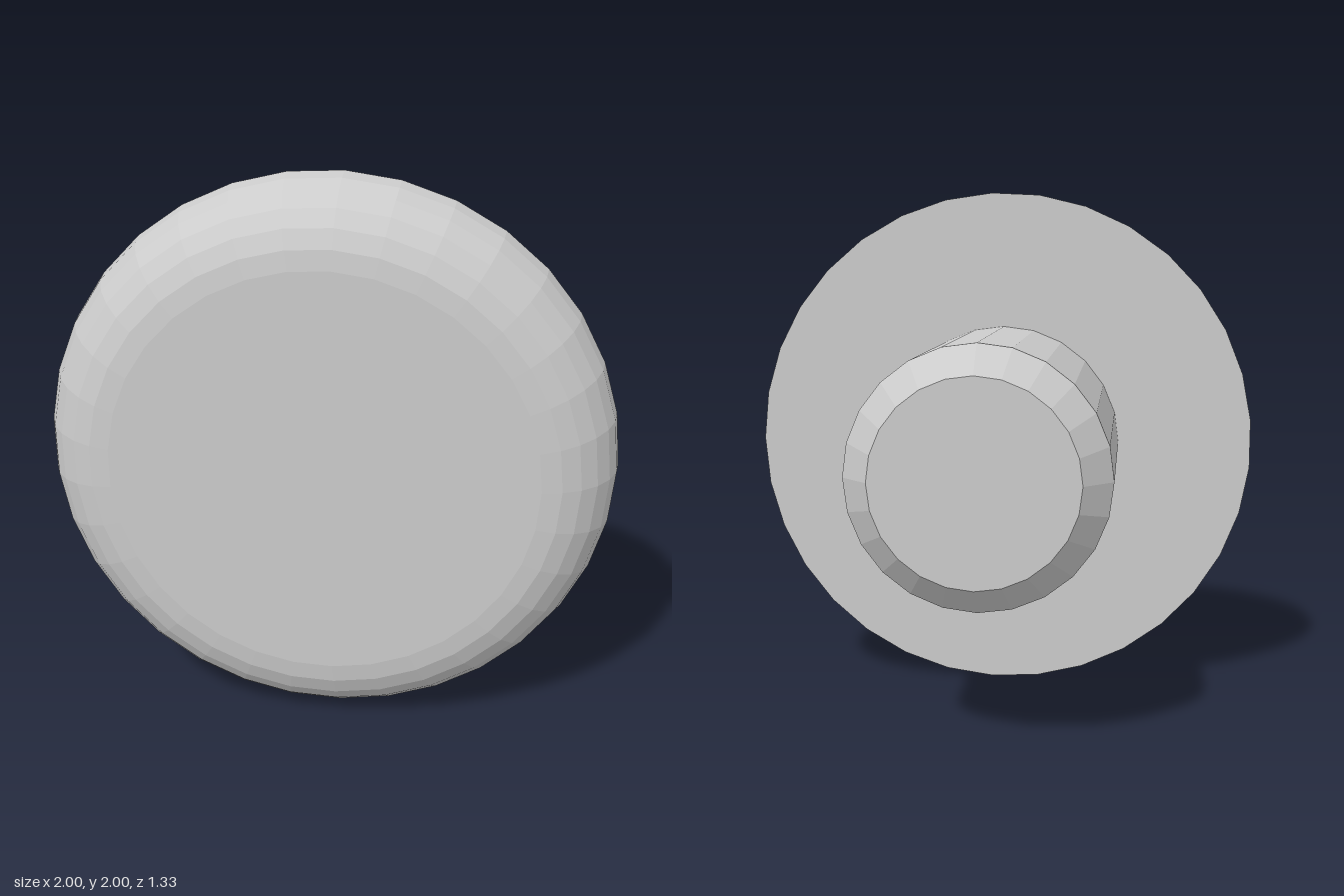
import * as THREE from 'three';

const material = new THREE.MeshStandardMaterial({ color: 0xcccccc, flatShading: true });

// Turns a [radius, z] profile, listed back to front, about the z axis.
function turned(name, profile, sides) {
  const points = profile.map(([r, z]) => new THREE.Vector2(r, z));
  const geometry = new THREE.LatheGeometry(points, sides, Math.PI / 2);
  geometry.rotateX(Math.PI / 2);
  const mesh = new THREE.Mesh(geometry, material);
  mesh.name = name;
  mesh.position.y = 1;
  return mesh;
}

export function createModel() {
  const group = new THREE.Group();
  group.name = 'knob';

  // Wide head: flat back, quarter-round rim, flat front
  const round = 0.263, back = 0.402, steps = 6;
  const head = [[0, back]];
  for (let i = 0; i <= steps; i++) {
    const a = (i / steps) * Math.PI / 2;
    head.push([1 - round + round * Math.cos(a), back + round * Math.sin(a)]);
  }
  head.push([0, back + round]);
  group.add(turned('head', head, 33));

  // Stem with a chamfered end
  group.add(turned('stem', [[0, -0.665], [0.365, -0.665], [0.467, -0.56], [0.467, back], [0, back]], 24));

  return group;
}
